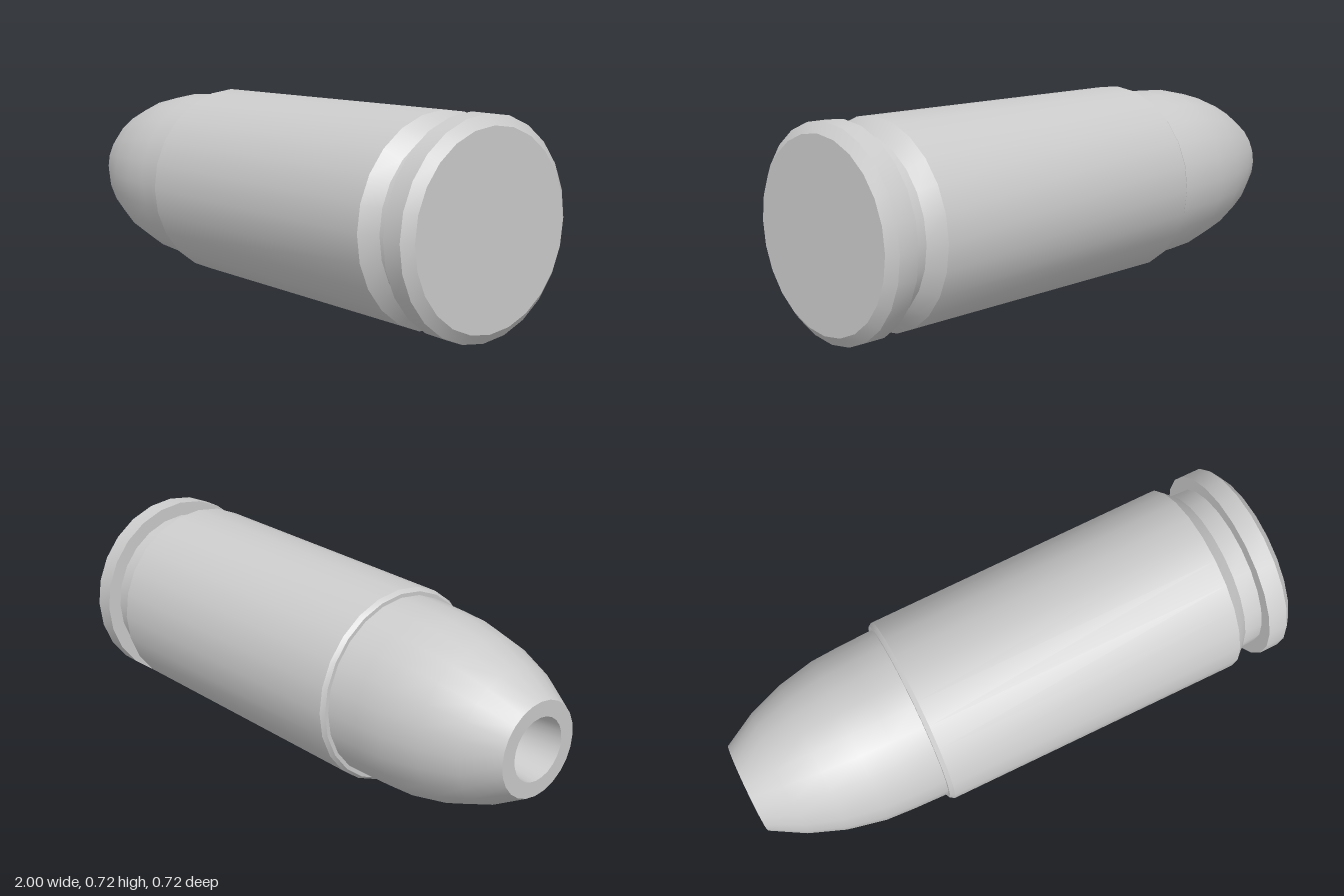
import * as THREE from 'three';
import { toCreasedNormals } from 'three/addons/utils/BufferGeometryUtils.js';

const SIDES = 24;
const AXIS_HEIGHT = 0.36;

// Revolves [x, radius] pairs around the long x axis, keeping profile corners sharp
function turned(name, profile, material) {
  const points = profile.map(([x, r]) => new THREE.Vector2(r, x));
  const geometry = new THREE.LatheGeometry(points, SIDES);
  geometry.rotateZ(-Math.PI / 2);
  const mesh = new THREE.Mesh(toCreasedNormals(geometry, 0.6), material);
  mesh.name = name;
  mesh.position.y = AXIS_HEIGHT;
  return mesh;
}

export function createModel() {
  const group = new THREE.Group();
  group.name = 'cartridge';
  const metal = new THREE.MeshStandardMaterial({ color: 0xcccccc });

  // Rounded nose with a hollow tip, running on into the case mouth
  group.add(turned('bullet', [
    [-0.72, 0], [-0.72, 0.09], [-1, 0.11],
    [-1, 0.165], [-0.88, 0.234], [-0.75, 0.283], [-0.61, 0.313],
    [-0.5, 0.32], [-0.36, 0.325],
  ], metal));

  // Slightly tapered case with extractor groove, rim and flat base
  group.add(turned('case', [
    [-0.375, 0.322], [-0.375, 0.338], [-0.36, 0.349], [0.78, 0.357],
    [0.83, 0.311], [0.9, 0.308], [0.9, 0.36],
    [0.972, 0.36], [1, 0.325], [1, 0],
  ], metal));

  return group;
}
